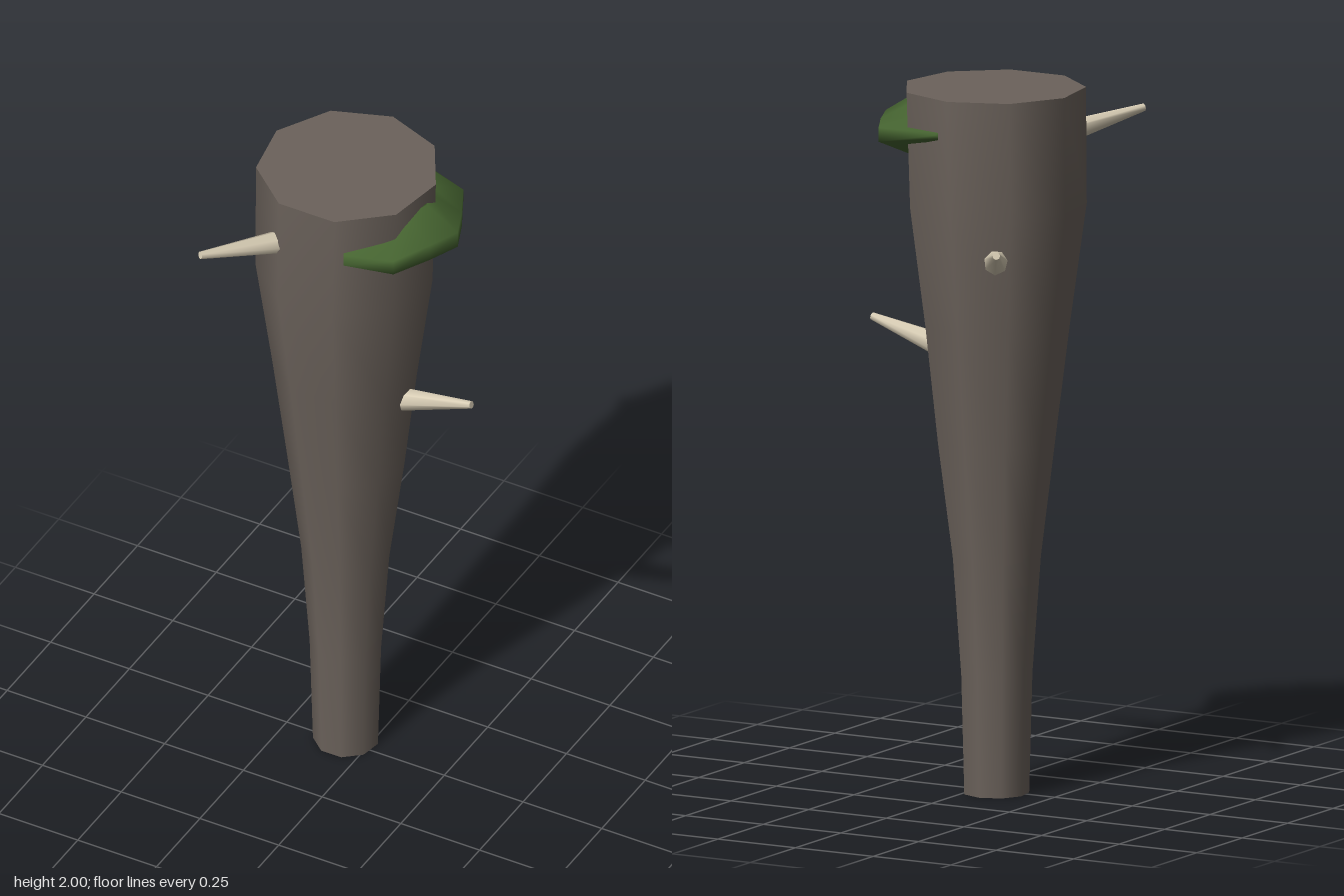
import * as THREE from 'three';

export function createModel() {
  const bark = new THREE.MeshStandardMaterial({ color: 0x6b625b });
  bark.name = 'bark';
  const bone = new THREE.MeshStandardMaterial({ color: 0xd8cdb5 });
  bone.name = 'bone';
  const moss = new THREE.MeshStandardMaterial({ color: 0x456330 });
  moss.name = 'moss green';

  const group = new THREE.Group();
  const add = (name, geometry, material, parent = group) => {
    const mesh = new THREE.Mesh(geometry, material);
    mesh.name = name;
    parent.add(mesh);
    return mesh;
  };

  // Club shaft: nine sides, widening upwards; rings are [radius, y, centre z]
  const SIDES = 9, CX = -0.072;
  const rings = [
    [0.093, 0, -0.02], [0.102, 0.34, -0.02], [0.126, 0.67, -0.021], [0.168, 1.0, -0.025],
    [0.207, 1.33, -0.021], [0.253, 1.67, -0.02], [0.257, 2, -0.032],
  ];
  const shaft = new THREE.LatheGeometry(rings.map(([r, y]) => new THREE.Vector2(r, y)), SIDES, Math.PI);
  const pos = shaft.attributes.position;
  for (let i = 0; i < pos.count; i++) {
    pos.setX(i, pos.getX(i) + CX);
    pos.setZ(i, pos.getZ(i) + rings[i % rings.length][2]);
  }
  add('shaft', shaft, bark);

  // Flat ends of the shaft
  const cap = (name, [r, y, z], up) => {
    const disc = new THREE.CircleGeometry(r, SIDES, up * Math.PI / 2);
    disc.rotateX(-up * Math.PI / 2).translate(CX, y, z);
    add(name, disc, bark);
  };
  cap('shaftTop', rings[rings.length - 1], 1);
  cap('shaftBottom', rings[0], -1);

  // Tapered spikes: [name, base, tip]
  const spikes = [
    ['frontSpike', [-0.155, 1.838, 0.155], [-0.304, 1.893, 0.4]],
    ['backSpike', [-0.175, 1.538, -0.195], [-0.296, 1.604, -0.4]],
    ['sideSpike', [0.085, 1.247, -0.027], [0.322, 1.312, -0.027]],
  ];
  for (const [name, a, b] of spikes) {
    const base = new THREE.Vector3(...a), tip = new THREE.Vector3(...b);
    const dir = tip.clone().sub(base);
    const spike = add(name, new THREE.CylinderGeometry(0.011, 0.036, dir.length(), 7), bone);
    spike.position.copy(base).add(tip).multiplyScalar(0.5);
    spike.quaternion.setFromUnitVectors(new THREE.Vector3(0, 1, 0), dir.normalize());
  }

  // Moss pad wrapped round one side: stations [outer x, outer z, bottom y, low rim, high rim, top y]
  const stations = [
    [0.04, 0.2, 1.845, 1.85, 1.885, 1.89],
    [0.175, 0.157, 1.817, 1.84, 1.885, 1.915],
    [0.235, 0.055, 1.8, 1.845, 1.895, 1.95],
    [0.277, -0.028, 1.79, 1.85, 1.9, 1.96],
    [0.24, -0.12, 1.8, 1.85, 1.895, 1.945],
    [0.19, -0.218, 1.825, 1.85, 1.89, 1.915],
    [-0.03, -0.283, 1.885, 1.89, 1.9, 1.905],
  ];
  const verts = [], faces = [];
  stations.forEach(([x, z, bottom, low, high, top], i) => {
    const end = i === 0 || i === stations.length - 1;
    const at = (k, y) => verts.push(CX + (x - CX) * k, y, -0.03 + (z + 0.03) * k);
    const inner = end ? 0.85 : 0.7;
    at(inner, bottom);
    at(end ? 0.95 : 0.76, bottom);
    at(1, low);
    at(1, high);
    at(end ? 0.95 : 0.72, top);
    at(inner, top);
    if (i) {
      for (let j = 0; j < 6; j++) {
        const n = (j + 1) % 6, p = (i - 1) * 6, q = i * 6;
        faces.push(p + j, q + j, q + n, p + j, q + n, p + n);
      }
    }
  });
  const last = (stations.length - 1) * 6;
  for (let j = 1; j < 5; j++) {
    faces.push(0, j, j + 1, last, last + j + 1, last + j);
  }
  const pad = new THREE.BufferGeometry();
  pad.setAttribute('position', new THREE.Float32BufferAttribute(verts, 3));
  pad.setIndex(faces);
  pad.computeVertexNormals();
  add('mossPad', pad, moss);

  return group;
}
